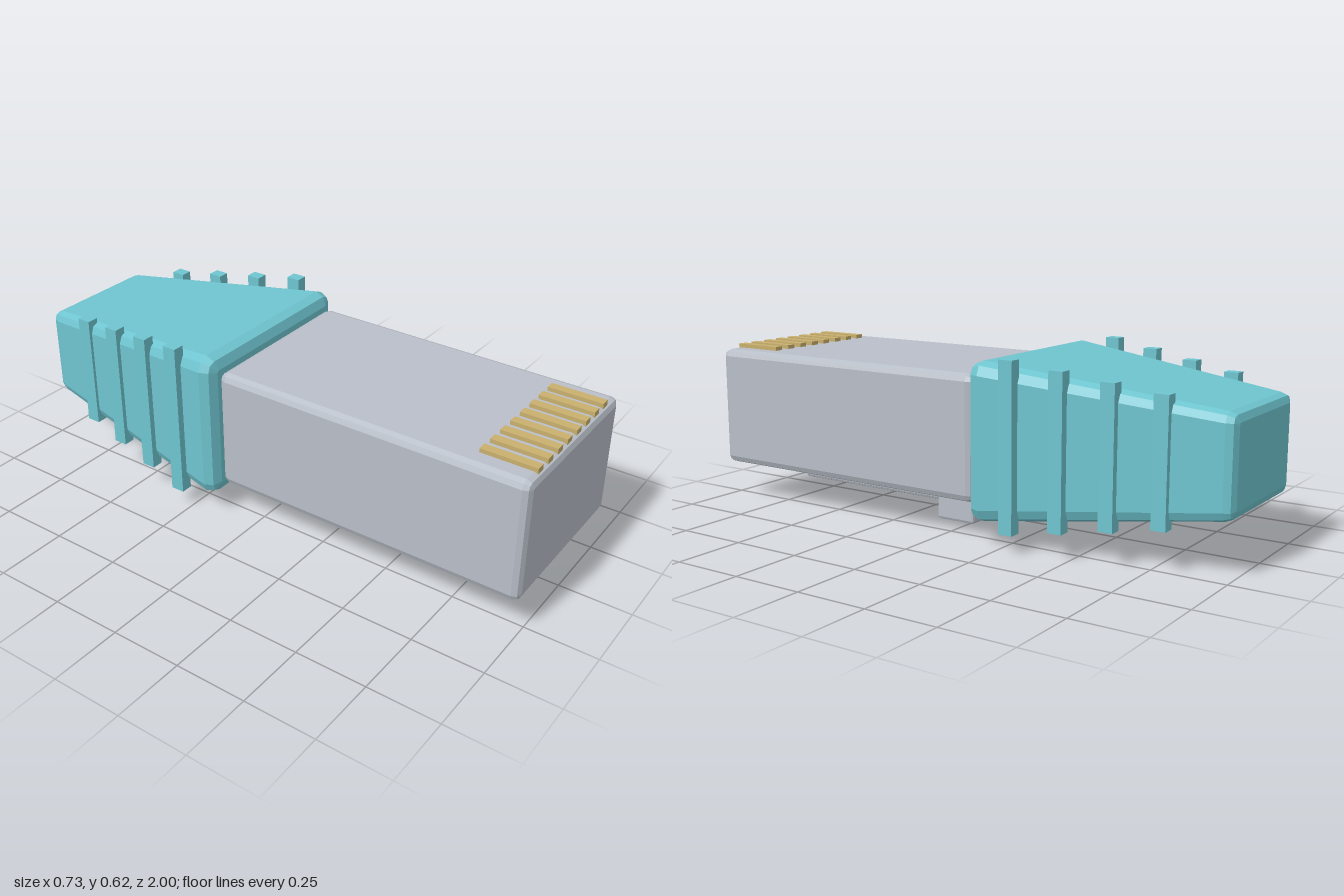
import * as THREE from 'three';

// Rounded-rectangle cross-section, counter-clockwise seen from +z
function ring(z, hx, y0, y1, r) {
  const pts = [];
  const centres = [[hx - r, y1 - r], [-hx + r, y1 - r], [-hx + r, y0 + r], [hx - r, y0 + r]];
  centres.forEach(([cx, cy], q) => {
    for (let k = 0; k <= 2; k++) {
      const a = (q + k / 2) * Math.PI / 2;
      pts.push([cx + r * Math.cos(a), cy + r * Math.sin(a), z]);
    }
  });
  return pts;
}

// Bevelled, optionally tapered block; each end is { z, hx, y0, y1, r }
function bevelledBlock(front, back) {
  const rings = [];
  const addEnd = (e, dir, steps) => {
    for (const t of steps) {
      const a = t * Math.PI / 2;
      const inset = e.r * (1 - Math.sin(a));
      const depth = e.r * (1 - Math.cos(a));
      rings.push(ring(e.z + dir * depth, e.hx - inset, e.y0 + inset, e.y1 - inset,
        Math.max(e.r - inset, e.r * 0.15)));
    }
  };
  addEnd(front, -1, [0, 0.5, 1]);
  addEnd(back, 1, [1, 0.5, 0]);

  const pos = [];
  const tri = (a, b, c) => pos.push(...a, ...b, ...c);
  const n = rings[0].length;
  for (let i = 0; i < rings.length - 1; i++) {
    for (let j = 0; j < n; j++) {
      const k = (j + 1) % n;
      const a = rings[i][j], b = rings[i][k], c = rings[i + 1][j], d = rings[i + 1][k];
      tri(a, c, b);
      tri(b, c, d);
    }
  }
  const last = rings[rings.length - 1];
  for (let j = 1; j < n - 1; j++) {
    tri(rings[0][0], rings[0][j], rings[0][j + 1]);
    tri(last[0], last[j + 1], last[j]);
  }
  const geo = new THREE.BufferGeometry();
  geo.setAttribute('position', new THREE.Float32BufferAttribute(pos, 3));
  geo.computeVertexNormals();
  return geo;
}

export function createModel() {
  const model = new THREE.Group();
  model.name = 'cableConnector';

  const material = (name, color) => {
    const m = new THREE.MeshStandardMaterial({ color });
    m.name = name;
    return m;
  };
  const grey = material('greyPlastic', 0xb9bfc9);
  const teal = material('tealRubber', 0x6fc5d0);
  const gold = material('goldContact', 0xc9b06e);

  const add = (name, geo, mat, parent = model) => {
    const mesh = new THREE.Mesh(geo, mat);
    mesh.name = name;
    parent.add(mesh);
    return mesh;
  };
  const group = (name) => {
    const g = new THREE.Group();
    g.name = name;
    model.add(g);
    return g;
  };
  const straight = (hx, y0, y1, z0, z1, r) =>
    bevelledBlock({ z: z1, hx, y0, y1, r }, { z: z0, hx, y0, y1, r });

  // Plug housing
  add('plugBody', straight(0.315, 0.127, 0.556, -0.13, 1, 0.025), grey);

  // Tapered strain-relief boot
  add('boot', bevelledBlock(
    { z: -0.135, hx: 0.356, y0: 0.078, y1: 0.606, r: 0.045 },
    { z: -1, hx: 0.235, y0: 0.176, y1: 0.508, r: 0.032 }), teal);

  // Grip ribs on both sides, shrinking with the boot
  const ribs = group('gripRibs');
  for (let i = 0; i < 4; i++) {
    const geo = new THREE.BoxGeometry(0.042, 0.56 - i * 0.048, 0.05);
    for (const side of [-1, 1]) {
      add('gripRib', geo, teal, ribs)
        .position.set(side * (0.346 - i * 0.0297), 0.342, -0.295 - i * 0.163);
    }
  }

  // Row of contacts along the front of the top face
  const contacts = group('contacts');
  const contactGeo = new THREE.BoxGeometry(0.032, 0.02, 0.19);
  for (let i = 0; i < 8; i++) {
    add('contact', contactGeo, gold, contacts)
      .position.set((i - 3.5) * 0.0648, 0.56, 0.892);
  }

  // Latch under the plug
  const latch = group('latch');
  add('latchArm', straight(0.147, 0.068, 0.118, -0.02, 0.755, 0.01), grey, latch);
  add('latchHook', straight(0.147, 0, 0.1, -0.02, 0.135, 0.01), grey, latch);

  return model;
}
